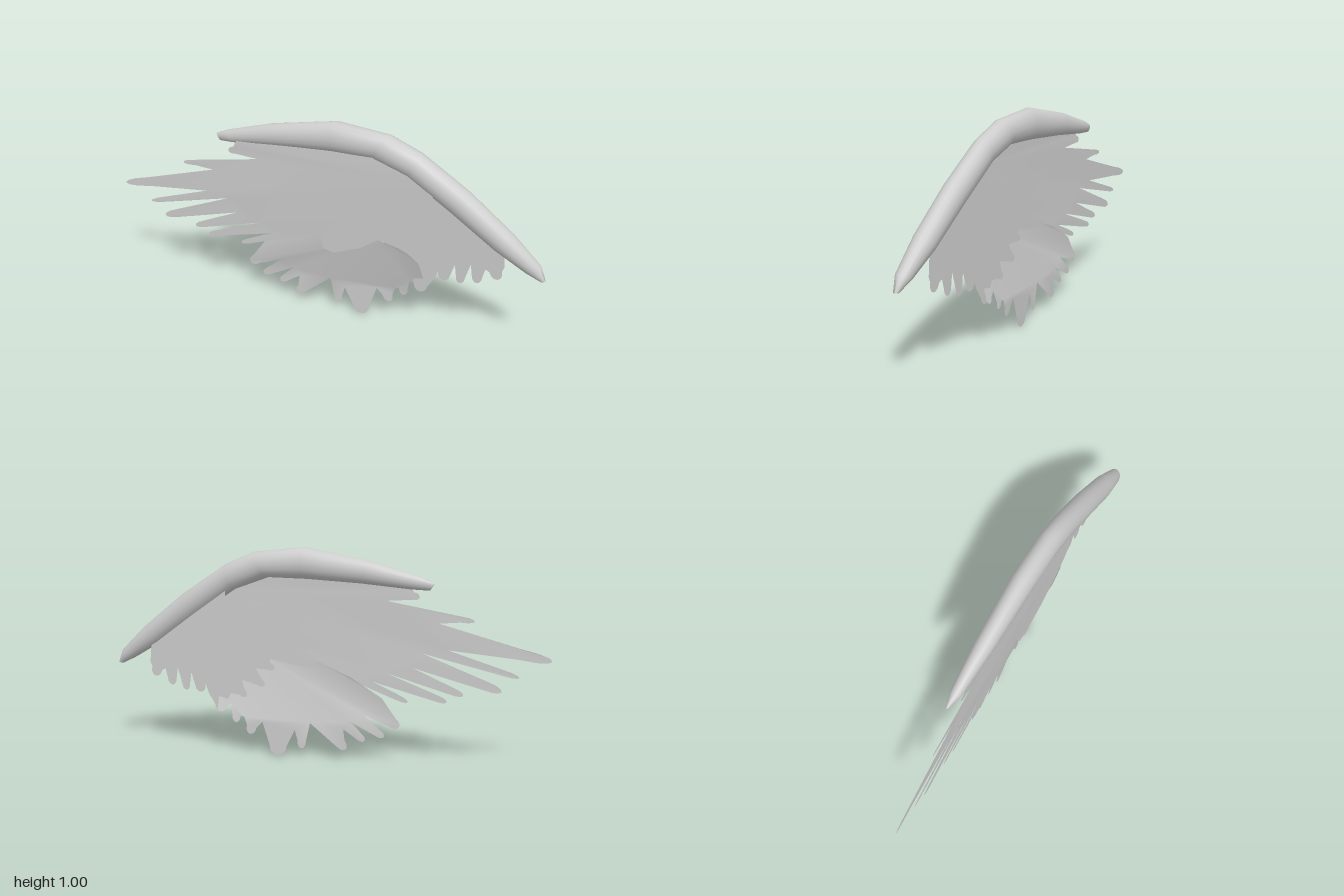
import * as THREE from 'three';

const bone = new THREE.MeshStandardMaterial({ color: 0xcccccc, side: THREE.DoubleSide });
bone.name = 'pale grey';

// One layer of feathers: a row of rounded tips between notches, closed by the root edge.
// tips: [tipX, tipY, halfWidth, roundLength, nextNotchX, nextNotchY]; depth bends the sheet in z.
function featherLayer(name, start, tips, root, depth) {
  const shape = new THREE.Shape();
  shape.moveTo(start[0], start[1]);
  let notch = start;
  for (const [tx, ty, w, len, nx, ny] of tips) {
    const tip = new THREE.Vector2(tx, ty);
    const dir = tip.clone().sub(new THREE.Vector2((notch[0] + nx) / 2, (notch[1] + ny) / 2)).normalize();
    const side = new THREE.Vector2(-dir.y, dir.x);
    // the first shoulder faces the previous notch
    if (side.dot(new THREE.Vector2(notch[0] - nx, notch[1] - ny)) < 0) side.negate();
    const base = tip.clone().addScaledVector(dir, -len);
    const a = base.clone().addScaledVector(side, w), b = base.clone().addScaledVector(side, -w);
    const h = len / 0.75;
    shape.lineTo(a.x, a.y);
    shape.bezierCurveTo(a.x + dir.x * h, a.y + dir.y * h, b.x + dir.x * h, b.y + dir.y * h, b.x, b.y);
    shape.lineTo(nx, ny);
    notch = [nx, ny];
  }
  for (const [x, y] of root) shape.lineTo(x, y);
  const geo = new THREE.ShapeGeometry(shape, 6);
  const p = geo.attributes.position;
  for (let i = 0; i < p.count; i++) p.setZ(i, depth(p.getX(i), p.getY(i)));
  geo.computeVertexNormals();
  const mesh = new THREE.Mesh(geo, bone);
  mesh.name = name;
  return mesh;
}

// Leading edge: elliptical rings lofted along the arm, each [topX, topY, bottomX, bottomY, halfDepth]
function leadingEdge() {
  const rings = [
    [-0.52, 0.85, -0.5, 0.815, 0.008], [-0.46, 0.877, -0.42, 0.818, 0.028],
    [-0.25, 0.94, -0.2, 0.838, 0.045], [0.06, 1.0, 0.05, 0.852, 0.055],
    [0.3, 0.972, 0.23, 0.855, 0.056], [0.44, 0.91, 0.39, 0.795, 0.056],
    [0.65, 0.765, 0.59, 0.655, 0.056], [0.85, 0.597, 0.78, 0.515, 0.052],
    [0.975, 0.47, 0.91, 0.435, 0.035], [1.0, 0.405, 0.975, 0.402, 0.012],
  ];
  const sides = 16, pos = [], idx = [];
  for (const [tx, ty, bx, by, d] of rings) {
    const cx = (tx + bx) / 2, cy = (ty + by) / 2, cz = -0.005 - 0.337 * cx;
    for (let j = 0; j < sides; j++) {
      const a = (j / sides) * Math.PI * 2, u = Math.cos(a), v = Math.sin(a) * d;
      const x = cx + (u * (tx - bx)) / 2;
      pos.push(x + v * 0.2, cy + (u * (ty - by)) / 2, cz - 0.337 * (x - cx) + v * 0.95);
    }
  }
  for (let i = 0; i < rings.length - 1; i++)
    for (let j = 0; j < sides; j++) {
      const a = i * sides + j, b = i * sides + ((j + 1) % sides), c = a + sides, e = b + sides;
      idx.push(a, b, c, b, e, c);
    }
  // end caps
  const last = (rings.length - 1) * sides;
  for (let j = 1; j < sides - 1; j++) {
    idx.push(0, j + 1, j);
    idx.push(last, last + j, last + j + 1);
  }
  const geo = new THREE.BufferGeometry();
  geo.setAttribute('position', new THREE.Float32BufferAttribute(pos, 3));
  geo.setIndex(idx);
  geo.computeVertexNormals();
  const mesh = new THREE.Mesh(geo, bone);
  mesh.name = 'leadingEdge';
  return mesh;
}

export function createModel() {
  const wing = new THREE.Group();
  wing.name = 'wing';
  wing.add(leadingEdge());

  // long flight feathers, nearest the front
  wing.add(featherLayer('primaryFeathers', [-0.4, 0.84], [
    [-0.445, 0.78, 0.018, 0.03, -0.3, 0.76],
    [-0.68, 0.68, 0.014, 0.06, -0.53, 0.665],
    [-1.0, 0.515, 0.024, 0.13, -0.57, 0.545],
    [-0.87, 0.435, 0.014, 0.08, -0.46, 0.525],
    [-0.8, 0.367, 0.022, 0.08, -0.42, 0.455],
    [-0.64, 0.34, 0.018, 0.06, -0.3, 0.425],
    [-0.57, 0.305, 0.016, 0.05, -0.24, 0.38],
    [-0.4, 0.293, 0.014, 0.05, -0.14, 0.38],
  ], [
    [0, 0.435], [0.02, 0.355], [0.07, 0.345], [0.2, 0.4], [0.33, 0.5], [0.41, 0.6], [0.46, 0.7],
    [0.53, 0.715], [0.5, 0.78], [0.42, 0.85], [0.28, 0.9], [0.05, 0.92], [-0.2, 0.89],
  ], (x) => 0.02 - 0.322 * x + 0.035 * x * x));

  // short rounded feathers hanging in the middle
  wing.add(featherLayer('secondaryFeathers', [-0.3, 0.31], [
    [-0.375, 0.175, 0.025, 0.04, -0.22, 0.225],
    [-0.31, 0.125, 0.018, 0.03, -0.16, 0.19],
    [-0.225, 0.1, 0.018, 0.03, -0.13, 0.15],
    [-0.14, 0.052, 0.024, 0.035, 0.02, 0.17],
    [0.06, 0.042, 0.02, 0.04, 0.09, 0.13],
    [0.17, 0.0, 0.04, 0.05, 0.24, 0.16],
    [0.3, 0.097, 0.024, 0.04, 0.325, 0.18],
    [0.365, 0.15, 0.02, 0.035, 0.395, 0.24],
    [0.44, 0.2, 0.022, 0.03, 0.46, 0.28],
  ], [
    [0.45, 0.36], [0.41, 0.41], [0.37, 0.435], [0.31, 0.455], [0.27, 0.46], [0, 0.46], [-0.15, 0.4],
  ], (x, y) => -0.03 - 0.4 * x + 0.3 * Math.max(0, y - 0.2) * THREE.MathUtils.clamp(x + 0.3, 0, 0.6) / 0.6));

  // covering feathers on the back and inner end
  wing.add(featherLayer('covertFeathers', [0.2, 0.725], [
    [-0.05, 0.69, 0.022, 0.05, 0.06, 0.62],
    [-0.04, 0.55, 0.026, 0.04, 0.08, 0.51],
    [-0.02, 0.45, 0.02, 0.04, 0.2, 0.47],
    [0.18, 0.425, 0.018, 0.03, 0.27, 0.42],
    [0.23, 0.34, 0.02, 0.03, 0.34, 0.36],
    [0.32, 0.28, 0.02, 0.03, 0.4, 0.29],
    [0.445, 0.198, 0.032, 0.04, 0.51, 0.28],
    [0.55, 0.285, 0.028, 0.04, 0.6, 0.38],
    [0.625, 0.29, 0.02, 0.03, 0.67, 0.4],
    [0.7, 0.31, 0.024, 0.04, 0.735, 0.39],
    [0.79, 0.35, 0.028, 0.04, 0.815, 0.42],
  ], [
    [0.81, 0.48], [0.8, 0.55], [0.68, 0.67], [0.54, 0.78], [0.42, 0.85], [0.42, 0.73],
  ], (x) => -0.05 - 0.31 * x));

  return wing;
}
